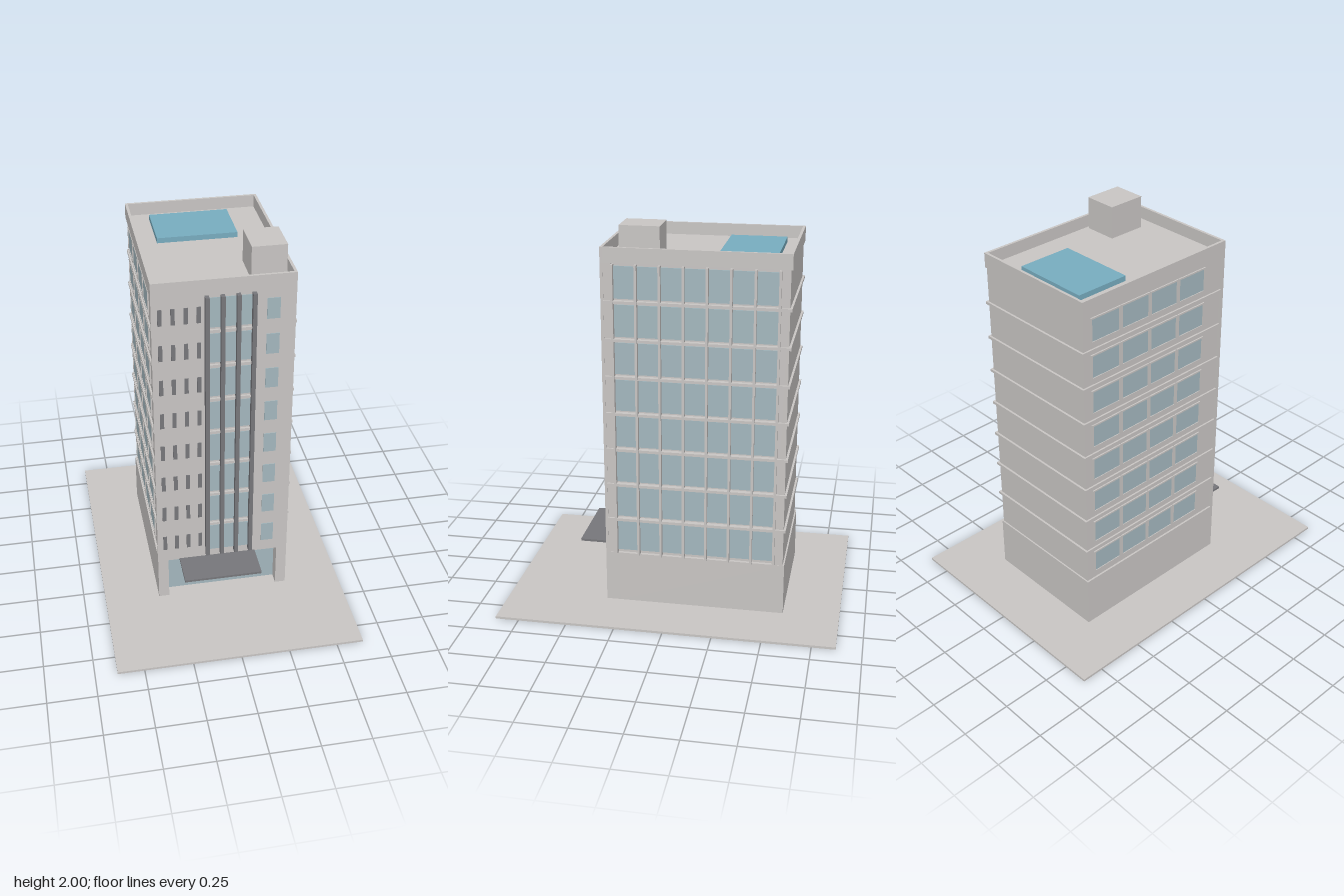
import * as THREE from 'three';

export function createModel() {
  const group = new THREE.Group();
  const mat = (name, color) => {
    const m = new THREE.MeshStandardMaterial({ color });
    m.name = name;
    return m;
  };
  const concrete = mat('concrete', 0xc9c6c4);
  const glass = mat('glass', 0xa4b8bf);
  const metal = mat('dark metal', 0x77777b);
  const water = mat('pool blue', 0x78adc0);

  // Box given by its lower and upper limits on each axis
  const box = (name, m, x0, x1, y0, y1, z0, z1) => {
    const mesh = new THREE.Mesh(new THREE.BoxGeometry(x1 - x0, y1 - y0, z1 - z0), m);
    mesh.position.set((x0 + x1) / 2, (y0 + y1) / 2, (z0 + z1) / 2);
    mesh.name = name;
    group.add(mesh);
    return mesh;
  };

  const L = -0.35, R = 0.345, BACK = -0.58, FRONT = 0.35;
  const BASE = 0.285, TOP = 1.82, FLOORS = 8, H = (TOP - BASE) / FLOORS;

  // Plot and ground storey with recessed glazed entrance
  box('groundSlab', concrete, -0.637, 0.637, 0, 0.012, -0.87, 0.87);
  box('groundStorey', concrete, L, R, 0.012, BASE, BACK, 0.28);
  box('entranceGlass', glass, -0.295, 0.29, 0.012, 0.255, 0.28, 0.288);
  box('entrancePillar', concrete, L, -0.295, 0.012, BASE, 0.28, FRONT);
  box('entrancePillar', concrete, 0.29, R, 0.012, BASE, 0.28, FRONT);
  box('entranceLintel', concrete, -0.295, 0.29, 0.255, BASE, 0.28, FRONT);
  box('canopy', metal, -0.235, 0.17, 0.248, 0.26, 0.34, 0.532);
  box('entrancePanel', metal, -0.15, 0.083, 0.19, 0.238, 0.335, 0.358);

  // Tower core, front wall and the piers framing the glazed side
  box('towerCore', concrete, -0.34, 0.328, BASE, TOP, -0.572, 0.335);
  box('frontWall', concrete, L, R, BASE, TOP, 0.335, FRONT);
  box('sidePier', concrete, 0.328, 0.343, BASE, TOP, 0.295, 0.335);
  box('sidePier', concrete, 0.328, 0.343, BASE, TOP, -0.572, -0.528);

  for (let i = 0; i < FLOORS; i++) {
    const y = BASE + i * H;

    // Glazed side and central front glazing
    box('sideGlass', glass, 0.328, 0.334, y + 0.015, y + H - 0.015, -0.528, 0.295);
    box('frontGlass', glass, -0.08, 0.135, y + 0.017, y + H - 0.017, FRONT, 0.353);

    // Narrow slots and single windows on the front
    for (let k = 0; k < 4; k++) {
      const x = -0.31 + k * 0.062;
      box('slotWindow', metal, x - 0.01, x + 0.01, y + 0.047, y + 0.132, FRONT, 0.354);
    }
    box('frontWindow', glass, 0.203, 0.267, y + 0.037, y + 0.147, FRONT, 0.354);

    // Four windows in slim frames on the other side
    for (let k = 0; k < 4; k++) {
      const z = -0.52 + k * 0.188;
      const y0 = y + 0.045, y1 = y + 0.16, z1 = z + 0.168, t = 0.008;
      box('rearSideWindow', glass, -0.343, -0.34, y0, y1, z, z1);
      box('windowFrame', concrete, -0.347, -0.34, y0 - t, y0, z - t, z1 + t);
      box('windowFrame', concrete, -0.347, -0.34, y1, y1 + t, z - t, z1 + t);
      box('windowFrame', concrete, -0.347, -0.34, y0, y1, z - t, z);
      box('windowFrame', concrete, -0.347, -0.34, y0, y1, z1, z1 + t);
    }

    // Floor ledges wrapping the sides and back
    if (i > 0) {
      box('floorLedge', concrete, -0.349, 0.354, y - 0.007, y + 0.007, -0.583, 0.335);
      box('frontLedge', concrete, -0.08, 0.135, y - 0.007, y + 0.007, FRONT, 0.362);
    }
  }

  // Mullions of the glazed side
  for (let k = 0; k < 8; k++) {
    const z = 0.292 - k * 0.1165;
    box('sideMullion', concrete, 0.328, 0.357, 0.282, 1.815, z - 0.006, z + 0.006);
  }

  // Tall dark fins on the front
  for (let k = 0; k < 4; k++) {
    const x = -0.087 + k * 0.0757;
    box('frontFin', metal, x - 0.01, x + 0.01, 0.282, 1.815, 0.345, 0.379);
  }

  // Roof deck, parapet, pool and stair house
  const T = 0.014;
  box('roofDeck', concrete, L, R, TOP, 1.833, BACK, FRONT);
  box('parapet', concrete, L, R, 1.833, 1.897, FRONT - T, FRONT);
  box('parapet', concrete, L, R, 1.833, 1.897, BACK, BACK + T);
  box('parapet', concrete, L, L + T, 1.833, 1.897, BACK + T, FRONT - T);
  box('parapet', concrete, R - T, R, 1.833, 1.897, BACK + T, FRONT - T);
  box('roofPool', water, -0.236, 0.172, 1.833, 1.86, -0.497, -0.208);
  box('stairHouse', concrete, 0.143, 0.316, 1.833, 2.0, 0.06, 0.26);

  return group;
}
